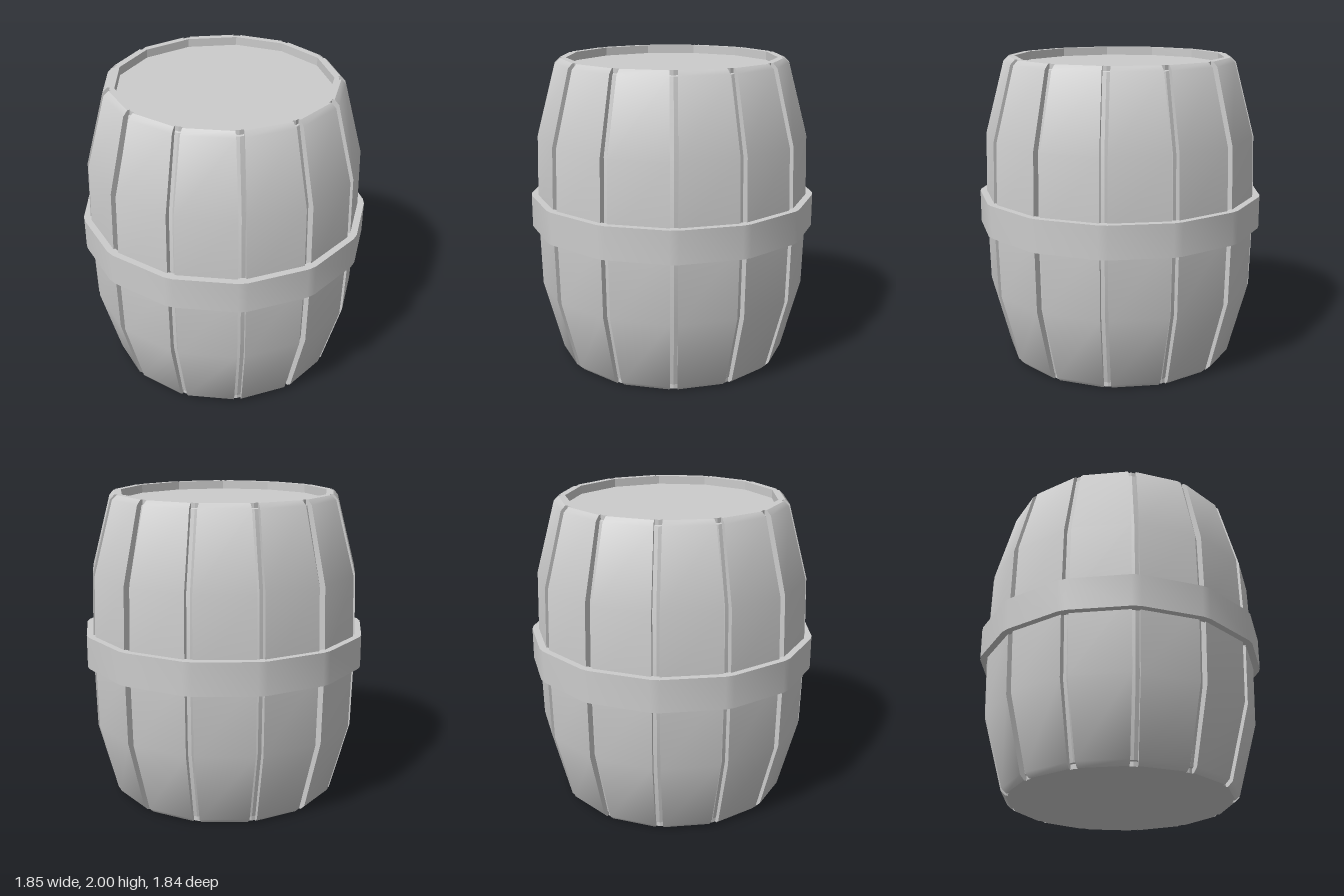
import * as THREE from 'three';
import { toCreasedNormals } from 'three/addons/utils/BufferGeometryUtils.js';

const COUNT = 13;                       // staves around the barrel
const HALF = Math.PI / COUNT;           // half the angle of one stave
const GAP = 0.025;                      // half width of a groove
const V = (r, y) => new THREE.Vector2(r, y);

// 13-sided solid of revolution, given the distance to its flats
function lathe(points) {
  const corners = points.map(([r, y]) => V(r / Math.cos(HALF), y));
  return toCreasedNormals(new THREE.LatheGeometry(corners, COUNT, Math.PI), 0.4);
}

// One stave: side profile extruded sideways, then tapered to its wedge
function staveGeometry() {
  const profile = [
    [0.69, 0], [0.705, 0], [0.735, 0.03], [0.857, 0.5], [0.87, 1],
    [0.857, 1.5], [0.735, 1.97], [0.705, 2], [0.69, 2],
  ].map(([r, y]) => V(r, y));
  const geo = new THREE.ExtrudeGeometry(new THREE.Shape(profile), { depth: 2, bevelEnabled: false });
  geo.translate(0, 0, -1).rotateY(-Math.PI / 2);
  const pos = geo.attributes.position;
  for (let i = 0; i < pos.count; i++) {
    pos.setX(i, pos.getX(i) * (pos.getZ(i) * Math.tan(HALF) - GAP));
  }
  return toCreasedNormals(geo, 0.75);
}

// Polygon ring around the middle with slightly cut corners
function hoopGeometry() {
  const outline = (apothem, cut) => {
    const flat = HALF - cut;
    const radius = apothem / Math.cos(flat);
    const points = [];
    for (let k = 0; k < COUNT; k++) {
      for (const side of [-1, 1]) {
        const t = 2 * HALF * k + side * flat;
        points.push(V(radius * Math.sin(t), -radius * Math.cos(t)));
      }
    }
    return points;
  };
  const shape = new THREE.Shape(outline(0.91, 0.03));
  shape.holes.push(new THREE.Path(outline(0.855, 0.03)));
  const geo = new THREE.ExtrudeGeometry(shape, { depth: 0.21, bevelEnabled: false });
  geo.rotateX(-Math.PI / 2).translate(0, 0.9, 0);
  return toCreasedNormals(geo, 0.4);
}

export function createModel() {
  const group = new THREE.Group();
  group.name = 'barrel';
  const material = new THREE.MeshStandardMaterial({ color: 0xcccccc });
  const add = (name, geometry) => {
    const mesh = new THREE.Mesh(geometry, material);
    mesh.name = name;
    group.add(mesh);
    return mesh;
  };

  // Inner body: groove floors, bottom and the raised inner rim
  add('innerBody', lathe([
    [0, 0], [0.69, 0], [0.69, 0.03], [0.7, 0.035], [0.812, 0.5], [0.825, 1],
    [0.812, 1.5], [0.7, 1.965], [0.69, 1.97], [0.69, 2], [0.66, 2], [0.66, 1.93],
  ]));

  // Sunken lid
  add('lid', lathe([[0.66, 1.945], [0, 1.945]]));

  // Staves
  const stave = staveGeometry();
  for (let k = 0; k < COUNT; k++) {
    add('stave', stave).rotation.y = 2 * HALF * k;
  }

  add('hoop', hoopGeometry());
  return group;
}
